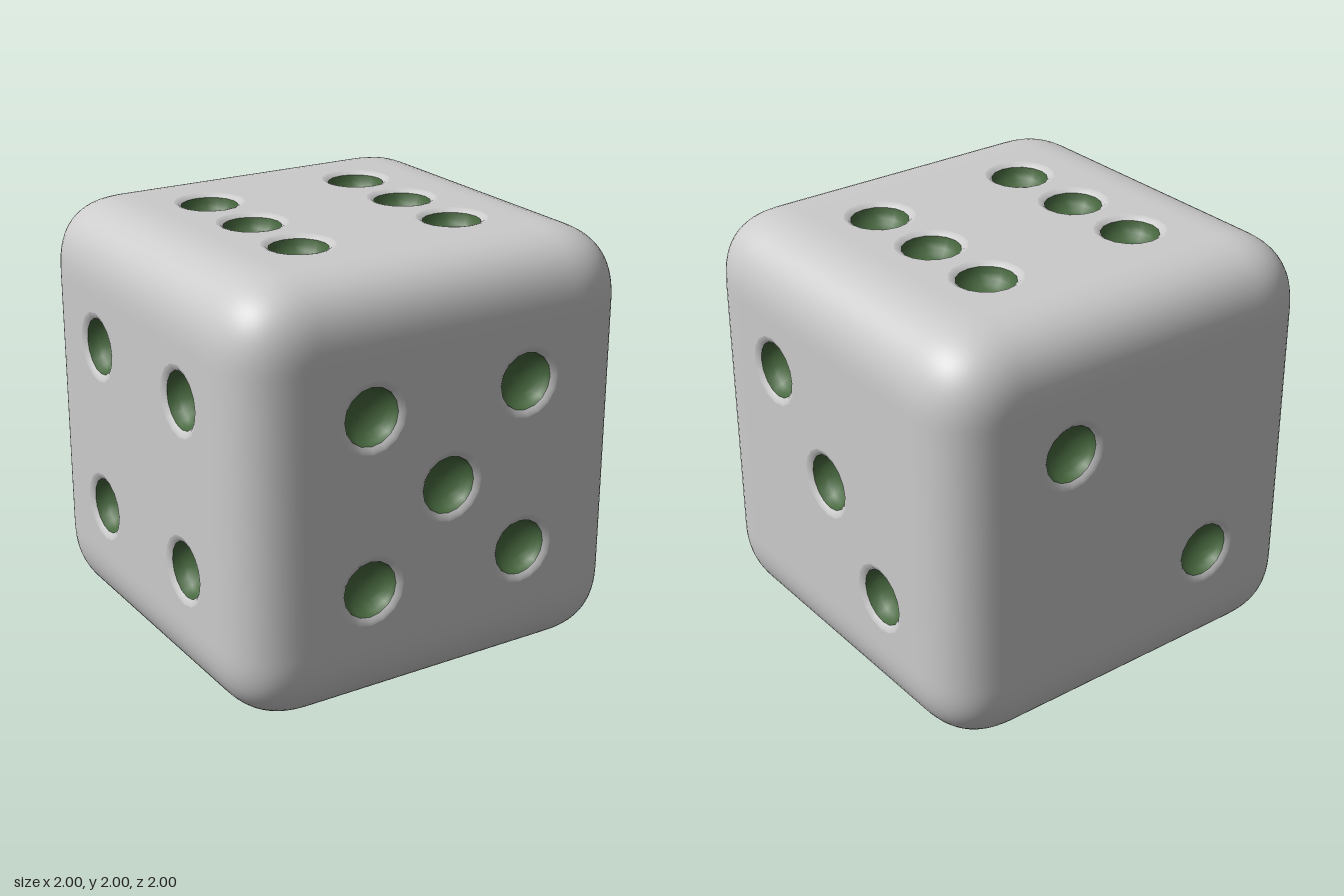
import * as THREE from 'three';
import { RoundedBoxGeometry } from 'three/addons/geometries/RoundedBoxGeometry.js';

const SOFT = 0.36;          // width of the rounded border
const FLAT = 1 - SOFT;      // half size of the flat part of each face
const POWER = 2.6;          // above 2 gives a fuller curve than a circle
const SIDES = 16;
const RIM = 0.165, PIP = 0.133, LIP = 0.016, DEPTH = 0.115;

const bodyMat = new THREE.MeshStandardMaterial({ color: 0xcccccc });
const pipMat = new THREE.MeshStandardMaterial({ color: 0x48693f });

// Rounded edges and corners only; the flat faces are left open for the panels
function edgeGeometry() {
  const src = new RoundedBoxGeometry(2, 2, 2, 8, SOFT).getAttribute('position');
  const pos = [], nor = [];
  for (let t = 0; t < src.count; t += 3) {
    const tri = [0, 1, 2].map((i) => new THREE.Vector3().fromBufferAttribute(src, t + i));
    const mid = tri[0].clone().add(tri[1]).add(tri[2]).divideScalar(3);
    if (Math.max(...mid.toArray().map(Math.abs)) > 0.9999) continue;
    for (const p of tri) {
      const core = p.clone().clampScalar(-FLAT, FLAT);
      const d = p.clone().sub(core).toArray().map((v) => (Math.abs(v) < 1e-5 ? 0 : v));
      const len = d.reduce((s, v) => s + Math.abs(v) ** POWER, 0) ** (1 / POWER);
      pos.push(...core.addScaledVector(new THREE.Vector3(...d), SOFT / len).toArray());
      const n = d.map((v) => Math.sign(v) * Math.abs(v / len) ** (POWER - 1));
      nor.push(...new THREE.Vector3(...n).normalize().toArray());
    }
  }
  const geo = new THREE.BufferGeometry();
  geo.setAttribute('position', new THREE.Float32BufferAttribute(pos, 3));
  geo.setAttribute('normal', new THREE.Float32BufferAttribute(nor, 3));
  return geo;
}

// Flat square with a round hole at every pip
function panelGeometry(pips) {
  const shape = new THREE.Shape([[-1, -1], [1, -1], [1, 1], [-1, 1]]
    .map(([x, y]) => new THREE.Vector2(x * FLAT, y * FLAT)));
  for (const [x, y] of pips) {
    const ring = [];
    for (let i = 0; i < SIDES; i++) {
      const a = (i / SIDES) * Math.PI * 2;
      ring.push(new THREE.Vector2(x + RIM * Math.cos(a), y + RIM * Math.sin(a)));
    }
    shape.holes.push(new THREE.Path(ring));
  }
  return new THREE.ShapeGeometry(shape);
}

// Turned profile running from the outside inwards, opening towards +z
function turned(points) {
  return new THREE.LatheGeometry(points.map(([r, h]) => new THREE.Vector2(r, h)), SIDES)
    .rotateX(Math.PI / 2);
}

function mesh(name, geo, mat) {
  const m = new THREE.Mesh(geo, mat);
  m.name = name;
  return m;
}

export function createModel() {
  const model = new THREE.Group();
  model.name = 'die';
  const cube = new THREE.Group();
  cube.name = 'cube';
  cube.position.y = 1;
  model.add(cube);
  cube.add(mesh('roundedEdges', edgeGeometry(), bodyMat));

  // Soft rim and bowl shared by all pips
  const rimGeo = turned([[RIM, 0], [0.148, -0.004], [PIP, -LIP]]);
  const bowl = [];
  for (let i = 0; i <= 6; i++) {
    const a = (i / 6) * Math.PI / 2;
    bowl.push([i === 6 ? 0 : PIP * Math.cos(a), -LIP - (DEPTH - LIP) * Math.sin(a)]);
  }
  const bowlGeo = turned(bowl);

  // Pip layouts, each seen from outside its face
  const s = 0.4, h = Math.PI / 2;
  const diagonal = [[-s, s], [s, -s]];
  const corners = [...diagonal, [s, s], [-s, -s]];
  const faces = [
    ['bottomFace', h, 0, [[0, 0]]],
    ['backFace', 0, Math.PI, diagonal],
    ['leftSideFace', 0, h, [...diagonal, [0, 0]]],
    ['rightSideFace', 0, -h, corners],
    ['frontFace', 0, 0, [...corners, [0, 0]]],
    ['topFace', -h, 0, [...corners, [-s, 0], [s, 0]]],
  ];
  for (const [name, rx, ry, pips] of faces) {
    const face = new THREE.Group();
    face.name = name;
    face.rotation.set(rx, ry, 0);
    face.add(mesh('panel', panelGeometry(pips), bodyMat));
    face.children[0].position.z = 1;
    for (const [x, y] of pips) {
      const rim = mesh('pipRim', rimGeo, bodyMat);
      const dish = mesh('pip', bowlGeo, pipMat);
      rim.position.set(x, y, 1);
      dish.position.set(x, y, 1);
      face.add(rim, dish);
    }
    cube.add(face);
  }
  return model;
}
